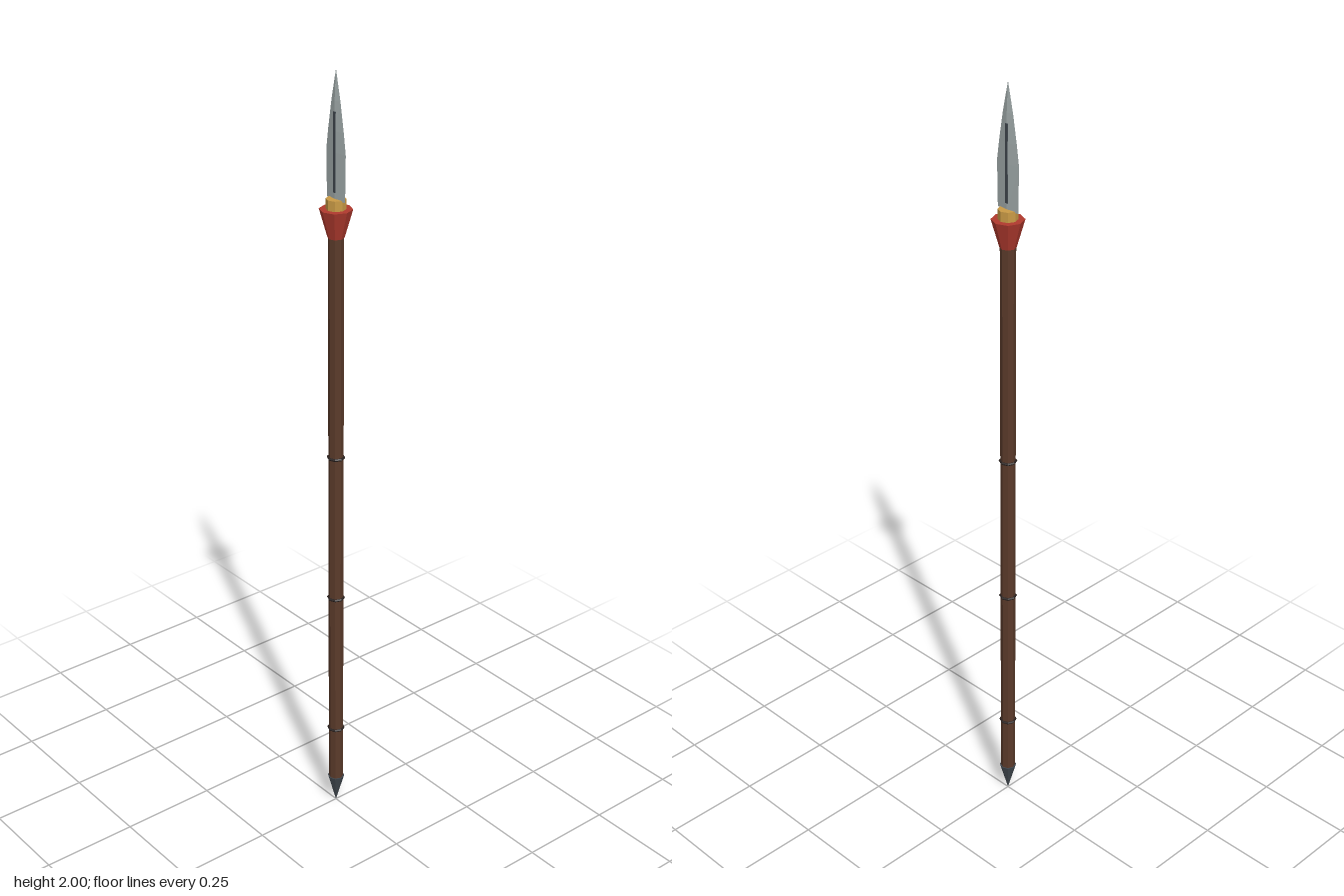
import * as THREE from 'three';

const material = (color) => new THREE.MeshStandardMaterial({ color, flatShading: true });
const wood = material(0x5a3a2a), iron = material(0x3f464d), steel = material(0xa3adad);
const red = material(0xb03a2e), gold = material(0xc99a45), binding = material(0x2a2220);

// Closed loft through diamond sections given as [y, halfWidth, halfThickness]
function diamondLoft(sections) {
  const points = [], faces = [];
  for (const [y, w, t] of sections) points.push(w, y, 0, 0, y, t, -w, y, 0, 0, y, -t);
  const last = (sections.length - 1) * 4;
  for (let s = 0; s < last; s += 4) {
    for (let i = 0; i < 4; i++) {
      const a = s + i, b = s + (i + 1) % 4;
      faces.push(a, a + 4, b, b, a + 4, b + 4);
    }
  }
  faces.push(0, 1, 2, 0, 2, 3, last, last + 2, last + 1, last, last + 3, last + 2);
  const geometry = new THREE.BufferGeometry();
  geometry.setAttribute('position', new THREE.Float32BufferAttribute(points, 3));
  geometry.setIndex(faces);
  const flat = geometry.toNonIndexed();
  flat.computeVertexNormals();
  return flat;
}

export function createModel() {
  const group = new THREE.Group();
  const add = (name, geometry, mat, y = 0) => {
    const mesh = new THREE.Mesh(geometry, mat);
    mesh.name = name;
    mesh.position.y = y;
    group.add(mesh);
    return mesh;
  };
  // Eight-sided tapered section between two heights
  const turned = (name, y0, y1, r0, r1, mat) =>
    add(name, new THREE.CylinderGeometry(r1, r0, y1 - y0, 8), mat, (y0 + y1) / 2);

  // Shaft and butt spike
  turned('shaft', 0.07, 1.64, 0.019, 0.019, wood);
  turned('buttSpike', 0, 0.08, 0, 0.022, iron);

  // Grip bindings
  for (const y of [0.235, 0.635, 1.035]) {
    add('gripRing', new THREE.TorusGeometry(0.019, 0.004, 6, 8), binding, y).rotation.x = Math.PI / 2;
  }

  // Flared tassel and collar under the blade
  turned('tassel', 1.605, 1.675, 0.02, 0.04, red);
  turned('collar', 1.66, 1.7, 0.024, 0.024, gold);

  // Leaf blade with a raised central rib on both faces
  add('blade', diamondLoft([
    [1.697, 0.033, 0.004], [1.81, 0.035, 0.005], [1.86, 0.028, 0.005],
    [1.93, 0.016, 0.004], [2, 0.0005, 0.0005],
  ]), steel);
  add('bladeRib', new THREE.BoxGeometry(0.007, 0.19, 0.012), iron, 1.81);
  return group;
}
